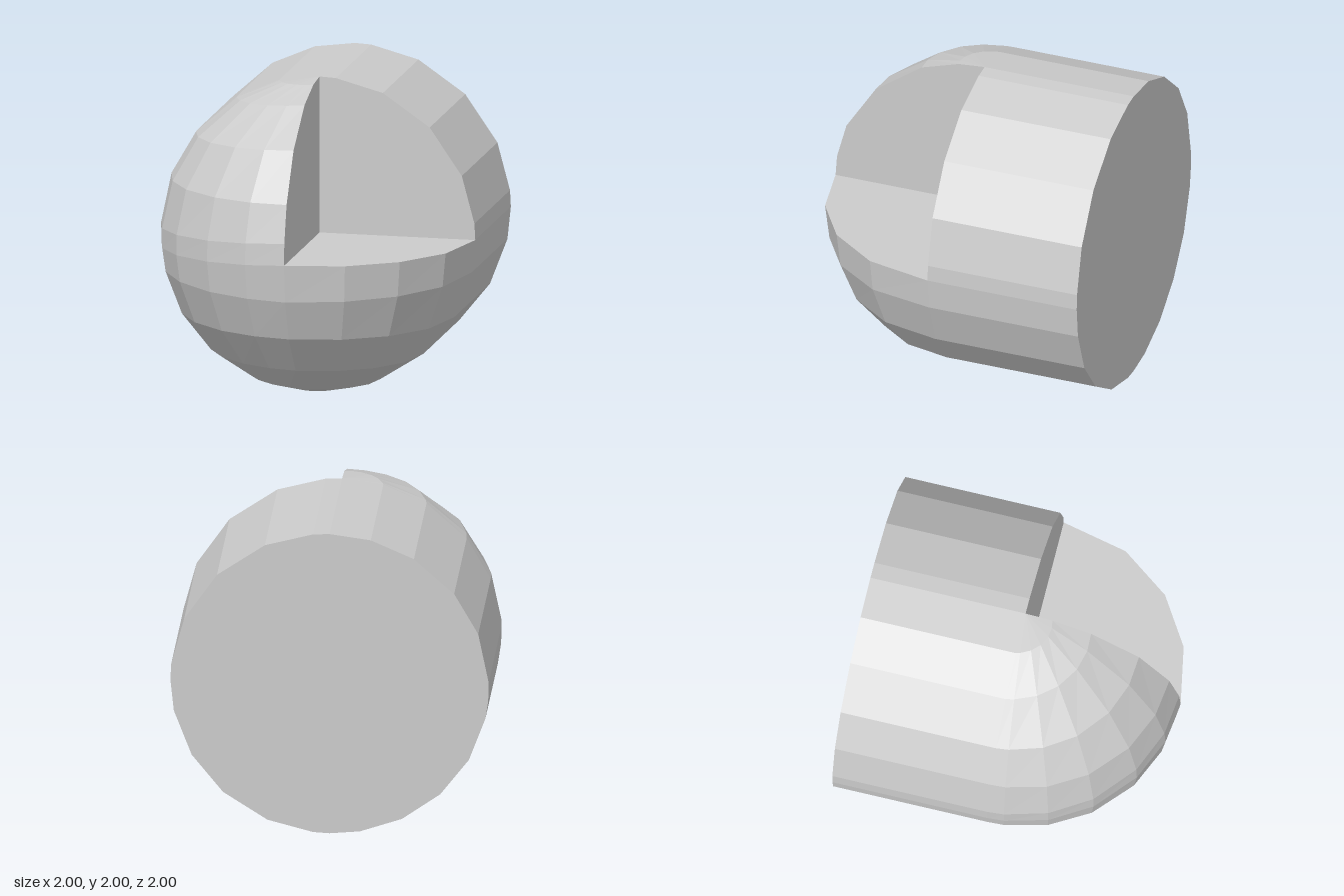
import * as THREE from 'three';

const rad = THREE.MathUtils.degToRad;

// Latitudes (degrees) of each facet row on the right, front and left meridians.
const RIGHT = [-90, -84, -67, -48, -30, -12, 0, 6, 24, 45, 66, 84, 90];
const FRONT = [-90, -84, -67, -48, -30, -14, 0, 8, 22, 43, 65, 80, 90];
const LEFT = [-90, -79, -63, -46, -29, -12, -5, 2, 21, 38.5, 58, 75, 90];
const EQUATOR = 6;
const TOP = RIGHT.length - 1;
// Longitudes of the columns, from +x round the front to -x.
const COLUMNS = [0, 25, 47, 68, 90, 105, 122, 141, 158, 174, 180];
const MIDDLE = 4;

// Point on the faceted dome, at a row and a longitude
function domePoint(row, u) {
  const lat = rad(u <= 90
    ? THREE.MathUtils.lerp(RIGHT[row], FRONT[row], u / 90)
    : THREE.MathUtils.lerp(FRONT[row], LEFT[row], (u - 90) / 90));
  const r = Math.cos(lat);
  return new THREE.Vector3(r * Math.cos(rad(u)), 1 + Math.sin(lat), r * Math.sin(rad(u)));
}

// The same rim point moved to the back end of the body
function backPoint(row, u) {
  return domePoint(row, u).setZ(-1);
}

// Collects triangles and turns them into a flat shaded mesh
function buildMesh(name, material, fill) {
  const points = [];
  const triangle = (a, b, c) => {
    if (new THREE.Triangle(a, b, c).getArea() > 1e-7) points.push(a, b, c);
  };
  const quad = (a, b, c, d) => { triangle(a, b, c); triangle(a, c, d); };
  fill(triangle, quad);
  const geometry = new THREE.BufferGeometry().setFromPoints(points);
  geometry.computeVertexNormals();
  const mesh = new THREE.Mesh(geometry, material);
  mesh.name = name;
  return mesh;
}

export function createModel() {
  const group = new THREE.Group();
  group.name = 'cutawayRoundedCylinder';
  const material = new THREE.MeshStandardMaterial({ color: 0xcccccc, flatShading: true });
  const add = (name, fill) => group.add(buildMesh(name, material, fill));

  // Rounded front, without its upper left octant
  add('roundedFront', (triangle, quad) => {
    for (let i = 0; i < TOP; i++) {
      for (let j = i >= EQUATOR ? MIDDLE : 0; j < COLUMNS.length - 1; j++) {
        const [u, v] = [COLUMNS[j], COLUMNS[j + 1]];
        quad(domePoint(i, v), domePoint(i, u), domePoint(i + 1, u), domePoint(i + 1, v));
      }
    }
  });

  // Straight body behind the dome
  add('cylinderBody', (triangle, quad) => {
    for (let i = 0; i < TOP; i++) {
      quad(domePoint(i, 0), backPoint(i, 0), backPoint(i + 1, 0), domePoint(i + 1, 0));
      quad(backPoint(i, 180), domePoint(i, 180), domePoint(i + 1, 180), backPoint(i + 1, 180));
    }
  });

  // Flat back end
  add('backCap', (triangle) => {
    const centre = new THREE.Vector3(0, 1, -1);
    for (let i = 0; i < TOP; i++) {
      triangle(centre, backPoint(i + 1, 0), backPoint(i, 0));
      triangle(centre, backPoint(i, 180), backPoint(i + 1, 180));
    }
  });

  // Three flat faces of the cut octant
  const corner = new THREE.Vector3(0, 1, 0);
  add('cutFloor', (triangle) => {
    for (let j = 0; j < MIDDLE; j++) {
      triangle(corner, domePoint(EQUATOR, COLUMNS[j + 1]), domePoint(EQUATOR, COLUMNS[j]));
    }
  });
  add('cutSideWall', (triangle) => {
    for (let i = EQUATOR; i < TOP; i++) triangle(corner, domePoint(i + 1, 90), domePoint(i, 90));
  });
  add('cutBackWall', (triangle) => {
    for (let i = EQUATOR; i < TOP; i++) triangle(corner, domePoint(i, 0), domePoint(i + 1, 0));
  });

  return group;
}
